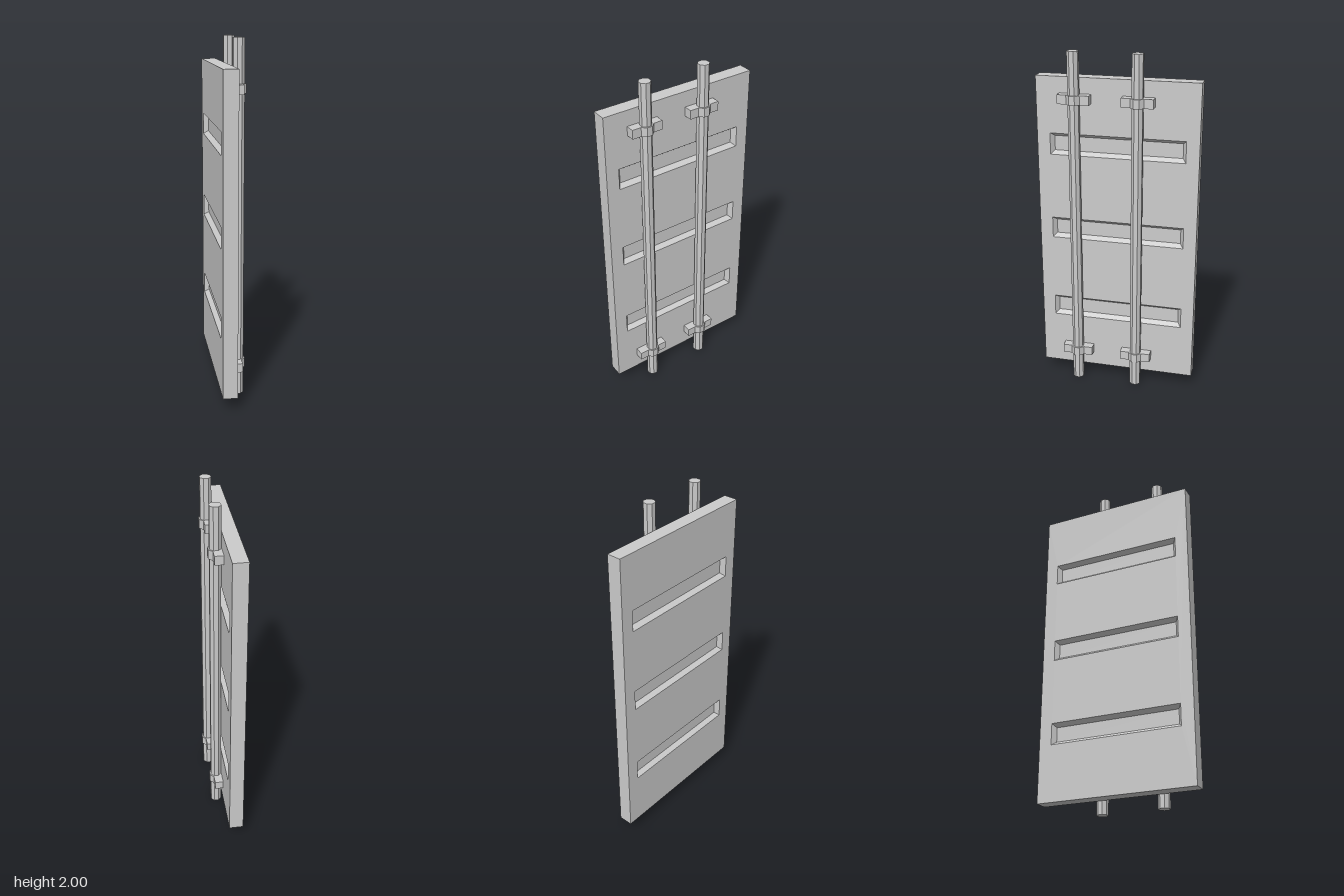
import * as THREE from 'three';

const material = new THREE.MeshStandardMaterial({ color: 0xcccccc, flatShading: true });

function add(parent, name, geometry) {
  const mesh = new THREE.Mesh(geometry, material);
  mesh.name = name;
  parent.add(mesh);
  return mesh;
}

// Counter-clockwise rectangle corners at depth z
const rect = (w, y0, y1, z) => [[-w, y0, z], [w, y0, z], [w, y1, z], [-w, y1, z]];

// Geometry from a list of four-cornered faces
function quads(list) {
  const geometry = new THREE.BufferGeometry();
  const points = list.flatMap(([a, b, c, d]) => [a, b, c, a, c, d]).flat();
  geometry.setAttribute('position', new THREE.Float32BufferAttribute(points, 3));
  geometry.computeVertexNormals();
  return geometry;
}

// Four walls joining two rectangles
const walls = (a, b) => a.map((p, i) => [p, a[(i + 1) % 4], b[(i + 1) % 4], b[i]]);

const toPath = (corners, PathType) =>
  new PathType(corners.map(([x, y]) => new THREE.Vector2(x, y)));

export function createModel() {
  const model = new THREE.Group();
  model.name = 'panelWithRods';

  // Panel with three bevelled pockets on each broad face
  const half = 0.041, depth = 0.027, width = 0.46, bottom = 0.072, top = 1.853;
  const panel = new THREE.Group();
  panel.name = 'panel';
  panel.position.x = -0.037;
  model.add(panel);

  for (const turn of [Math.PI / 2, -Math.PI / 2]) {
    const side = new THREE.Group();
    side.name = turn > 0 ? 'leftSide' : 'rightSide';
    side.rotation.y = turn;
    panel.add(side);

    const outline = toPath(rect(width, bottom, top, 0), THREE.Shape);
    for (const y of [0.394, 0.903, 1.409]) {
      const opening = rect(0.386, y, y + 0.124, half);
      const floor = rect(0.366, y + 0.02, y + 0.104, half - depth);
      outline.holes.push(toPath(opening, THREE.Path));
      add(side, 'pocket', quads([...walls(opening, floor), floor]));
    }
    add(side, 'panelFace', new THREE.ShapeGeometry(outline).translate(0, 0, half));
  }
  const edges = walls(rect(width, bottom, top, -half), rect(width, bottom, top, half));
  add(panel, 'panelEdges', quads(edges)).rotation.y = Math.PI / 2;

  // Clamp cross-section: flat flanges with a faceted bulge, drawn in x and -z
  const clampShape = new THREE.Shape([
    [0.004, -0.09], [0.053, -0.09], [0.053, -0.038], [0.075, -0.016],
    [0.075, 0.016], [0.053, 0.038], [0.053, 0.09], [0.004, 0.09],
  ].map(([x, y]) => new THREE.Vector2(x, y)));
  const clampGeometry = new THREE.ExtrudeGeometry(clampShape, { depth: 0.052, bevelEnabled: false });
  clampGeometry.rotateX(-Math.PI / 2);

  // Octagonal rods, flat sides square to the panel
  const rodGeometry = new THREE.CylinderGeometry(0.033, 0.033, 2, 8);
  rodGeometry.rotateY(Math.PI / 8);

  for (const z of [0.235, -0.121]) {
    add(model, 'rod', rodGeometry).position.set(0.037, 1, z);
    for (const y of [0.16, 1.711]) add(model, 'clamp', clampGeometry).position.set(0, y, z);
  }
  return model;
}
